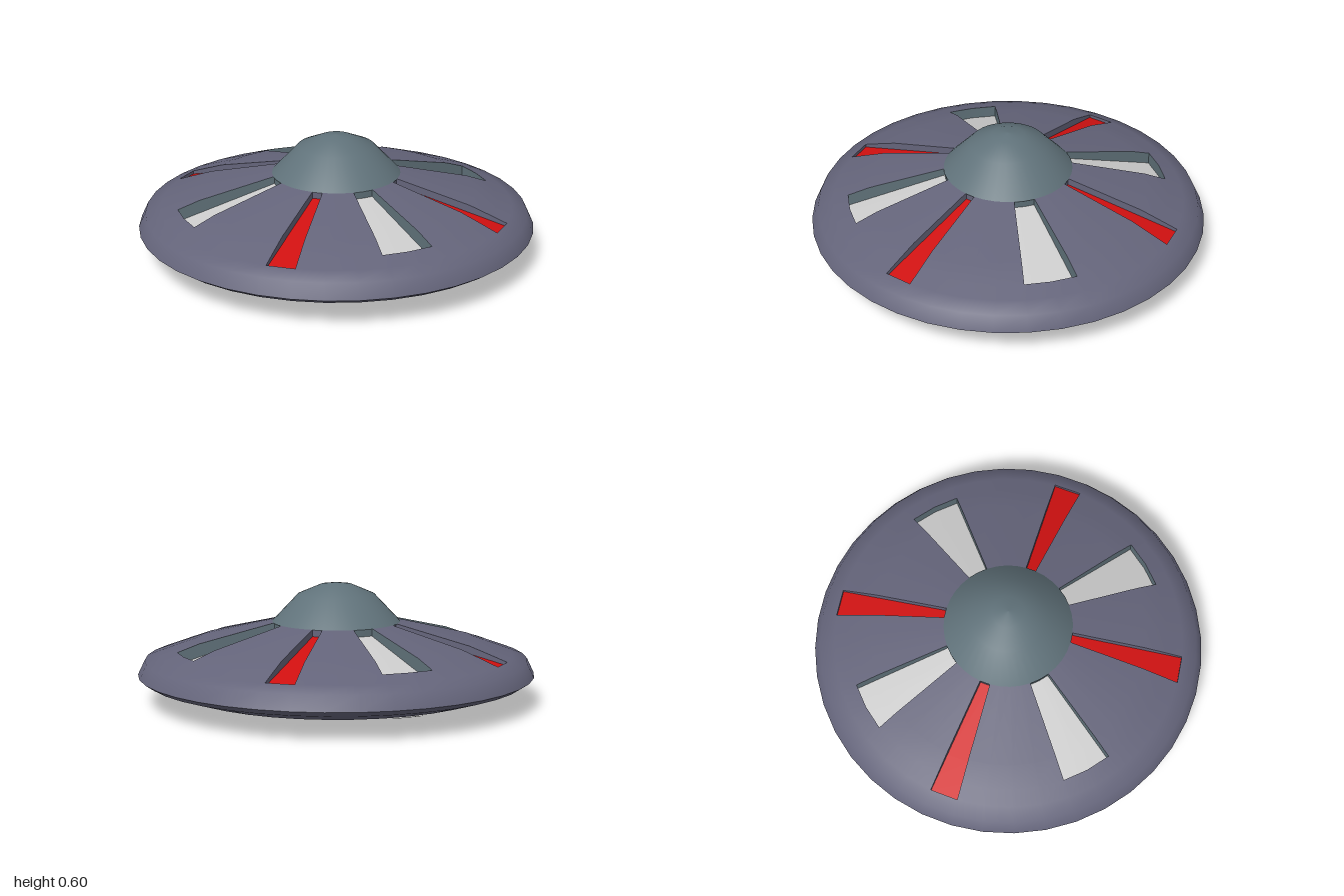
import * as THREE from 'three';
import { mergeVertices } from 'three/addons/utils/BufferGeometryUtils.js';

const SECTORS = 40;
const STEP = (Math.PI * 2) / SECTORS;

const material = (color) => new THREE.MeshStandardMaterial({ color, side: THREE.DoubleSide });
const hullMat = material(0x64647a);
const domeMat = material(0x60727a);
const whiteMat = material(0xcccccc);
const redMat = material(0xd01010);

// Upper hull profile as [radius, height], from the dome out to the rim
const UPPER = [[0.32, 0.405], [0.7, 0.315], [0.81, 0.276], [0.89, 0.247], [0.965, 0.22], [1, 0.147]];
// Underside profile, from the centre out to the rim
const LOWER = [[0, 0.004], [0.3, 0.018], [0.605, 0.04], [0.81, 0.072], [0.96, 0.12], [1, 0.147]];
const DOME = [[0.325, 0.403], [0.193, 0.542], [0.08, 0.59], [0, 0.6]];

const polar = (sector, [r, y]) =>
  new THREE.Vector3(r * Math.sin(sector * STEP), y, r * Math.cos(sector * STEP));

// Surface through rows of points; skip(i, j) leaves a cell open
function surface(rows, skip = () => false) {
  const cols = rows[0].length;
  const index = [];
  for (let i = 0; i < rows.length - 1; i++) {
    for (let j = 0; j < cols - 1; j++) {
      if (skip(i, j)) continue;
      const a = i * cols + j, b = a + cols;
      index.push(a, b, a + 1, a + 1, b, b + 1);
    }
  }
  let geo = new THREE.BufferGeometry().setFromPoints(rows.flat());
  geo.setIndex(index);
  geo = mergeVertices(geo, 1e-4);
  geo.computeVertexNormals();
  return geo;
}

function add(parent, name, geo, mat) {
  const mesh = new THREE.Mesh(geo, mat);
  mesh.name = name;
  parent.add(mesh);
}

const lathe = (profile) =>
  new THREE.LatheGeometry(profile.map(([r, y]) => new THREE.Vector2(r, y)), SECTORS);

// Recessed slots: first sector, width in sectors, last profile ring and floor ends
const SLOTS = [];
for (const start of [-1, 9, 19, 29]) {
  SLOTS.push({ name: 'whiteSlot', start, width: 2, ring: 2, inner: 0.368, outer: 0.215, floor: whiteMat, wall: domeMat });
}
for (const start of [4, 15, 24, 35]) {
  SLOTS.push({ name: 'redSlot', start, width: 1, ring: 3, inner: 0.37, outer: 0.23, floor: redMat, wall: hullMat });
}

function makeSlot({ name, start, width, ring, inner, outer, floor, wall }) {
  const slot = new THREE.Group();
  slot.name = name;
  const top = UPPER.slice(0, ring + 1);
  const r0 = top[0][0], r1 = top[ring][0];
  const base = top.map(([r]) => [r, inner + ((outer - inner) * (r - r0)) / (r1 - r0)]);
  const sectors = Array.from({ length: width + 1 }, (_, k) => start + k);
  const arc = (p) => sectors.map((s) => polar(s, p));

  add(slot, 'slotFloor', surface(base.map(arc)), floor);
  for (const s of [start, start + width]) {
    const line = (pts) => pts.map((p) => polar(s, p));
    const rows = s === start ? [line(base), line(top)] : [line(top), line(base)];
    add(slot, 'slotSideWall', surface(rows), wall);
  }
  add(slot, 'slotInnerWall', surface([arc(top[0]), arc(base[0])]), wall);
  add(slot, 'slotOuterWall', surface([arc(base[ring]), arc(top[ring])]), wall);
  return slot;
}

export function createModel() {
  const model = new THREE.Group();
  model.name = 'flyingSaucer';

  // Upper hull with openings for the slots
  const rows = UPPER.map((p) => Array.from({ length: SECTORS + 1 }, (_, j) => polar(j, p)));
  const open = (i, j) => SLOTS.some(({ start, width, ring }) =>
    i < ring && (j - start + SECTORS) % SECTORS < width);
  add(model, 'upperHull', surface(rows, open), hullMat);

  add(model, 'lowerHull', lathe(LOWER), hullMat);
  add(model, 'dome', lathe(DOME), domeMat);
  SLOTS.forEach((s) => model.add(makeSlot(s)));

  // Small hatch under the back of the hull, its face turned down
  const hatch = [[0.85, 0.079], [0.81, 0.067], [0.58, 0.033]]
    .map((p) => [19.5, 20, 20.5].map((s) => polar(s, p)));
  add(model, 'undersideHatch', surface(hatch), whiteMat);

  return model;
}
